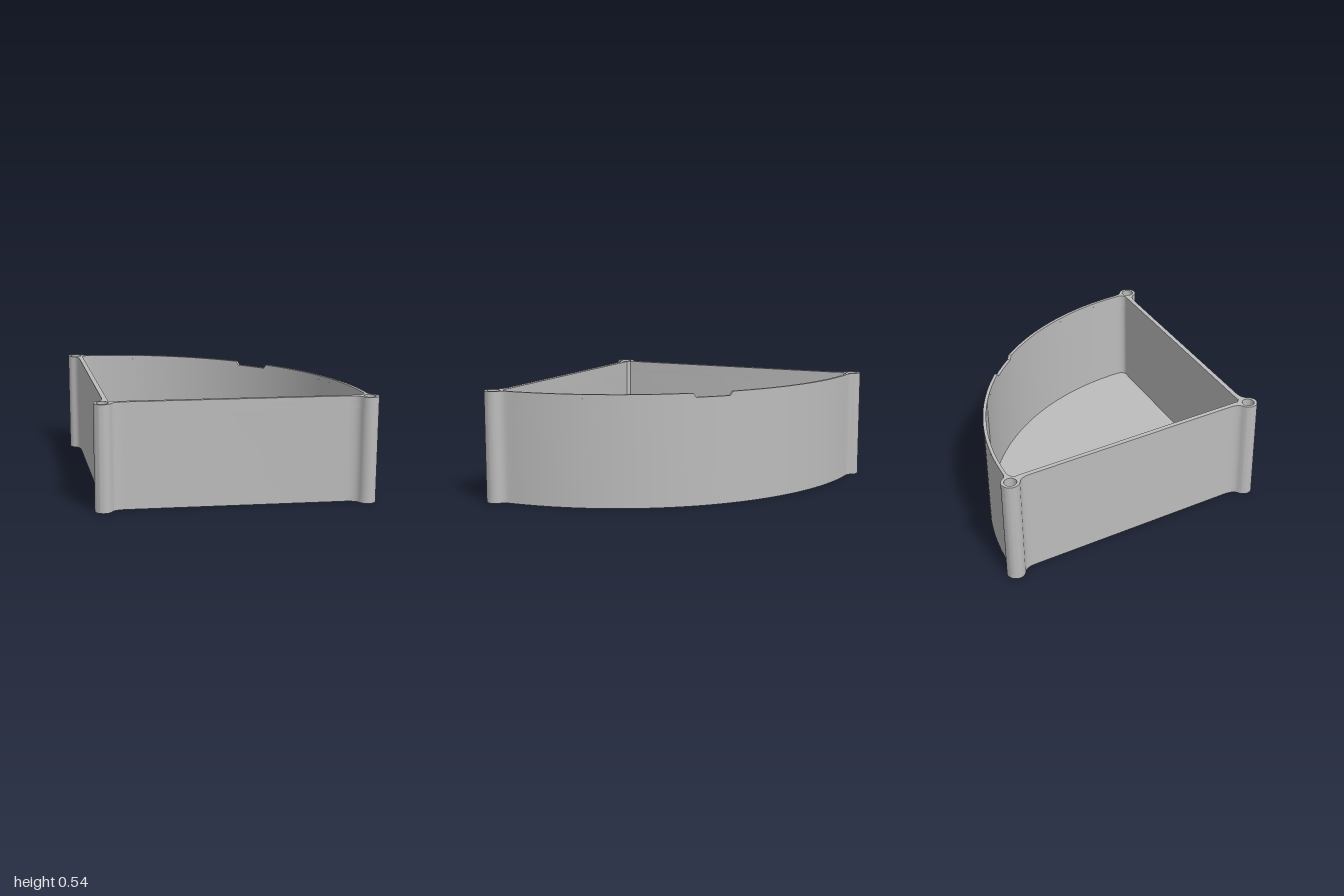
import * as THREE from 'three';
import { toCreasedNormals } from 'three/addons/utils/BufferGeometryUtils.js';

const APEX = -0.64;            // x of the sector's centre
const OUTER = 1.32, INNER = 1.304;
const CORNER = [0.265, 0.955]; // corner post
const POST = 0.045, HOLE = 0.03;
const HEIGHT = 0.54, FLOOR = 0.02, HOLE_BASE = 0.48, NOTCH_BASE = 0.52;

const v = (x, y) => new THREE.Vector2(x, y);

function arc(cx, cy, r, a0, a1, n) {
  return Array.from({ length: n + 1 }, (_, i) => {
    const a = a0 + (a1 - a0) * i / n;
    return v(cx + r * Math.cos(a), cy + r * Math.sin(a));
  });
}

// Fillet without its first and last points
function fillet(a, c, b, n = 6) {
  return new THREE.QuadraticBezierCurve(a, c, b).getPoints(n).slice(1, -1);
}

// Outer half outline, from the curved wall to the apex post
function outerHalf(start) {
  const wall = arc(APEX, 0, OUTER, start, Math.asin(0.9 / OUTER), 32);
  const corner = arc(...CORNER, POST, -0.34, Math.PI + 0.34, 20);
  const side = y => v(APEX + 0.012 + 0.948 * y, y);
  const apex = arc(APEX, 0, POST, 1.22, Math.PI, 12);
  return [
    ...wall, ...fillet(wall.at(-1), v(0.303, 0.925), corner[0]),
    ...corner, ...fillet(corner.at(-1), v(0.235, 0.91), side(0.87)),
    side(0.87), side(0.07), ...fillet(side(0.07), v(-0.597, 0.034), apex[0]),
    ...apex,
  ];
}

// Inner half outline, from the curved wall to the apex
function innerHalf(start) {
  const wall = arc(APEX, 0, INNER, start, Math.asin(0.9 / INNER), 32);
  const side = y => v(-0.595 + 0.946 * y, y);
  return [
    ...wall, ...fillet(wall.at(-1), v(0.27, 0.922), side(0.895)),
    side(0.895), side(0.02), v(-0.588, 0.01), v(-0.587, 0),
  ];
}

// Adds the mirrored half to a half outline
function mirrored(half) {
  return [...half, ...half.slice(0, -1).reverse().map(p => v(p.x, -p.y))];
}

function postHoles() {
  return [[APEX, 0], CORNER, [CORNER[0], -CORNER[1]]].map(([x, y]) =>
    new THREE.Path(arc(x, y, HOLE, 0, Math.PI * 2, 28).slice(0, -1)));
}

function layer(shape, y0, y1) {
  const g = new THREE.ExtrudeGeometry(shape, { depth: y1 - y0, bevelEnabled: false });
  return g.rotateX(-Math.PI / 2).translate(0, y0, 0);
}

export function createModel() {
  const group = new THREE.Group();
  const grey = new THREE.MeshStandardMaterial({ color: 0xbcbcbc });
  grey.name = 'grey plastic';

  const add = (name, geometry) => {
    const mesh = new THREE.Mesh(toCreasedNormals(geometry, 0.5), grey);
    mesh.name = name;
    group.add(mesh);
  };

  const outline = mirrored(outerHalf(0)).slice(0, -1);
  const cavity = mirrored(innerHalf(0)).slice(0, -1);
  const ring = holes => {
    const s = new THREE.Shape(outline);
    s.holes.push(new THREE.Path(cavity), ...holes);
    return s;
  };

  // Tray floor and walls; the posts have shallow sockets in their tops
  add('floor', layer(new THREE.Shape(outline), 0, FLOOR));
  add('walls', layer(ring([]), FLOOR, HOLE_BASE));
  add('upperWalls', layer(ring(postHoles()), HOLE_BASE, NOTCH_BASE));

  // Rim, left open at the middle of the curved wall for a finger notch
  const rimShape = new THREE.Shape([
    ...mirrored(outerHalf(Math.asin(0.085 / OUTER))),
    ...mirrored(innerHalf(Math.asin(0.085 / INNER))).reverse(),
  ]);
  rimShape.holes.push(...postHoles());
  const rim = layer(rimShape, NOTCH_BASE, HEIGHT);

  // Slope the notch ends outwards towards the top
  const pos = rim.attributes.position;
  for (let i = 0; i < pos.count; i++) {
    const z = pos.getZ(i);
    if (pos.getX(i) > 0.6 && Math.abs(z) < 0.09 && pos.getY(i) > HEIGHT - 0.005) {
      pos.setZ(i, Math.sign(z) * 0.1);
    }
  }
  add('notchedRim', rim);

  return group;
}
